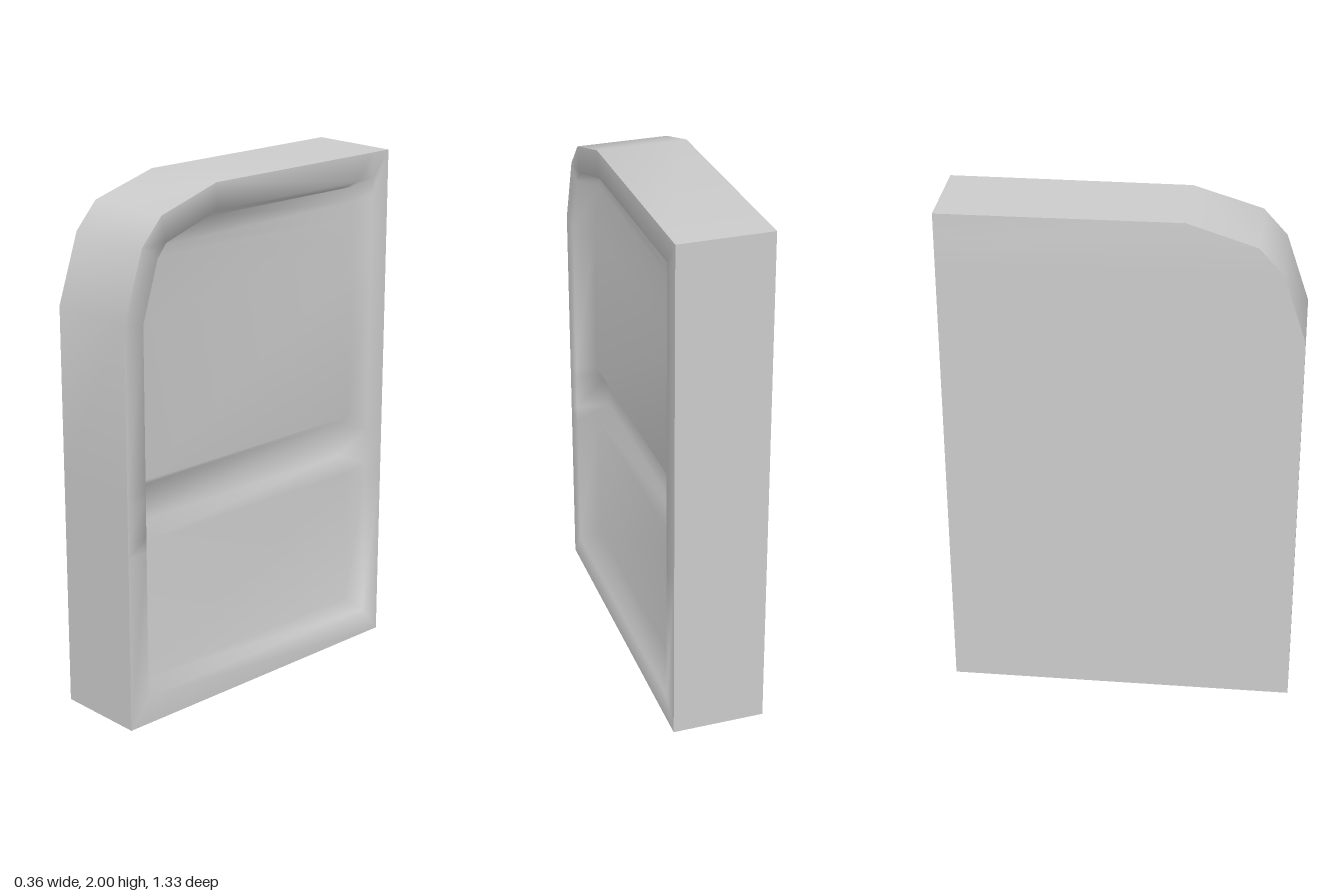
import * as THREE from 'three';
import { toCreasedNormals } from 'three/addons/utils/BufferGeometryUtils.js';

// Each row holds [front z, front y, back y] of an outline, from bottom to top.
const rows = (bottom, z, curve) => [
  [z, bottom, bottom],
  ...[0.69, 0.75, 0.89, 0.93].map((y) => [z, y, y]),
  ...curve,
];
const OUTER = rows(0, 0.667, [
  [0.667, 1.56, 1.56], [0.58, 1.82, 1.7], [0.49, 1.92, 1.8], [0.23, 2, 1.9], [-0.58, 2, 2],
]);
const RIM = rows(0.11, 0.58, [
  [0.58, 1.545, 1.545], [0.51, 1.77, 1.68], [0.47, 1.82, 1.76], [0.225, 1.9, 1.84], [-0.5, 1.9, 1.9],
]);
const FLOOR = rows(0.14, 0.555, [
  [0.555, 1.53, 1.53], [0.485, 1.75, 1.66], [0.46, 1.785, 1.74], [0.22, 1.86, 1.8], [-0.5, 1.86, 1.86],
]);
const COUNT = OUTER.length;

// Closed loop: up the front edge, then down the straight back edge.
function loop(outline, backZ, xAt) {
  const front = outline.map(([z, y], k) => [xAt(k), y, z]);
  const back = outline.map(([, , y], k) => [k >= COUNT - 2 ? xAt(0) : xAt(k), y, backZ]);
  return [...front, ...back.reverse()];
}

// Strip of quads between loop number a and loop number b.
function band(index, a, b) {
  const n = COUNT * 2;
  for (let i = 0; i < n; i++) {
    const j = (i + 1) % n;
    index.push(a * n + i, b * n + i, b * n + j, a * n + i, b * n + j, a * n + j);
  }
}

// Fill a loop row by row, facing +x, or -x when flipped.
function cap(index, a, flip) {
  const n = COUNT * 2;
  for (let k = 0; k < COUNT - 1; k++) {
    const f = a * n + k, f2 = f + 1;
    const r = a * n + n - 1 - k, r2 = r - 1;
    if (flip) index.push(f, r2, r, f, f2, r2);
    else index.push(f, r, r2, f, r2, f2);
  }
}

function build(loops, index) {
  const geometry = new THREE.BufferGeometry();
  geometry.setAttribute('position', new THREE.Float32BufferAttribute(loops.flat(2), 3));
  geometry.setIndex(index);
  geometry.computeVertexNormals();
  return geometry;
}

export function createModel() {
  const group = new THREE.Group();
  group.name = 'door';
  const material = new THREE.MeshStandardMaterial({ color: 0xcccccc });
  const add = (name, geometry) => {
    const mesh = new THREE.Mesh(geometry, material);
    mesh.name = name;
    group.add(mesh);
  };

  const X = 0.177;
  const outer = loop(OUTER, -0.667, () => X);
  const rim = loop(RIM, -0.58, () => X);
  // Recessed floor with a deeper horizontal groove across the middle
  const floor = loop(FLOOR, -0.555, (k) => (k === 2 || k === 3 ? X - 0.13 : X - 0.08));
  // The plain side dips in slightly along its top edge
  const plain = loop(OUTER, -0.667, (k) => (k >= COUNT - 2 ? -0.17 : -0.18));

  // Edge walls and plain side
  const bodyIndex = [];
  band(bodyIndex, 0, 1);
  cap(bodyIndex, 0, true);
  add('body', toCreasedNormals(build([plain, outer], bodyIndex), 0.6));

  // Flat rim, sloped wall and sunken panel, smoothly shaded together
  const panelIndex = [];
  band(panelIndex, 0, 1);
  band(panelIndex, 1, 2);
  cap(panelIndex, 2, false);
  add('recessedPanel', build([outer, rim, floor], panelIndex));

  return group;
}
